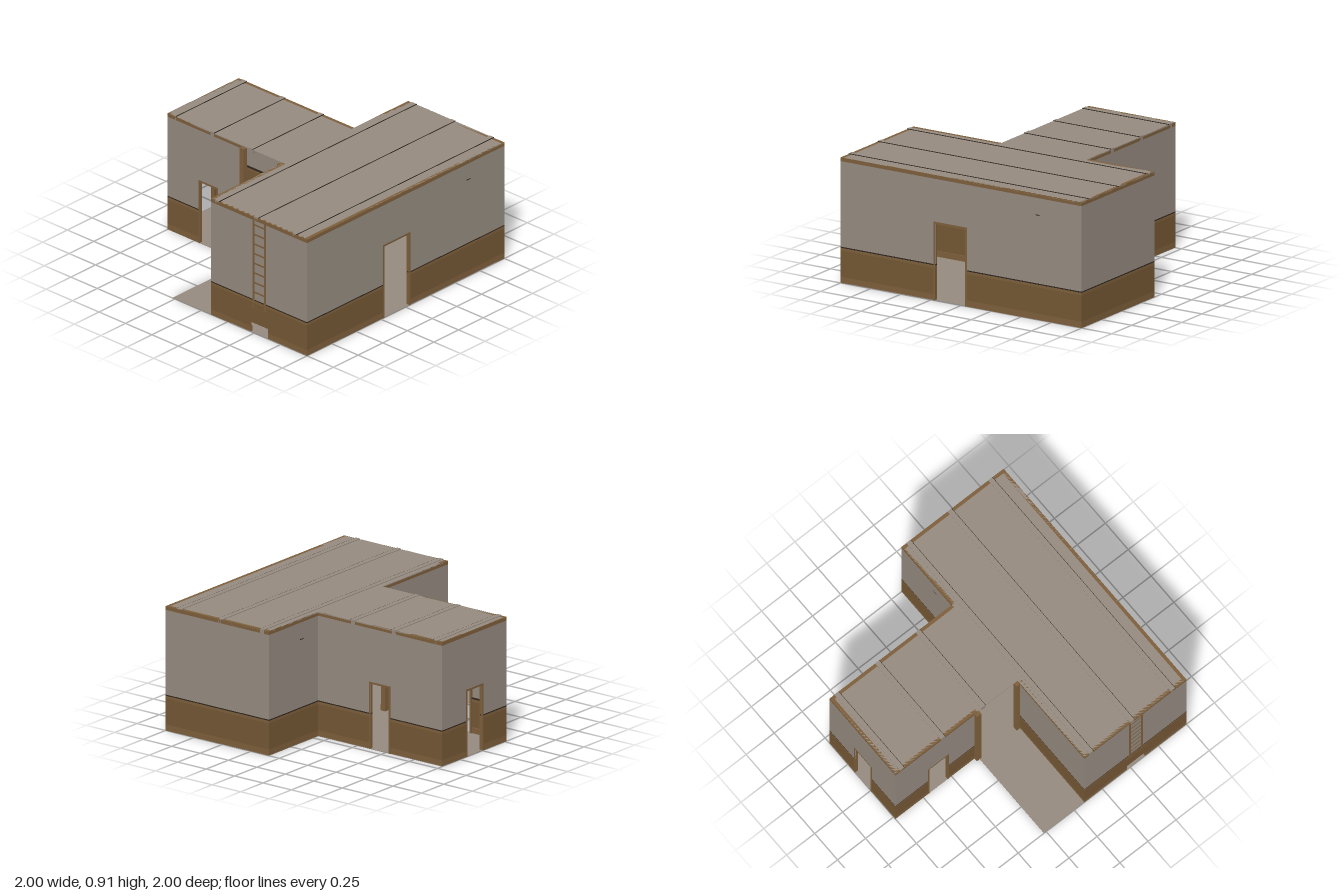
import * as THREE from 'three';

const mat = (name, color) => {
  const m = new THREE.MeshStandardMaterial({ color });
  m.name = name;
  return m;
};

export function createModel() {
  const plaster = mat('plaster', 0x958b80);
  const wood = mat('panel wood', 0x745734);
  const trim = mat('trim wood', 0x7d5f3b);
  const dark = mat('dark edge', 0x2e261d);

  const root = new THREE.Group();
  root.name = 'roomShell';
  const H = 0.905, T = 0.008;

  // Box given by its minimum and maximum corners
  function box(parent, name, m, x0, x1, y0, y1, z0, z1) {
    const mesh = new THREE.Mesh(new THREE.BoxGeometry(x1 - x0, y1 - y0, z1 - z0), m);
    mesh.position.set((x0 + x1) / 2, (y0 + y1) / 2, (z0 + z1) / 2);
    mesh.name = name;
    parent.add(mesh);
    return mesh;
  }

  // Horizontal wall bands: name, material, bottom, top, inner depth
  const bands = [
    ['baseboard', trim, 0, 0.045, 0.016],
    ['wainscot', wood, 0.045, 0.235, T],
    ['chairRail', trim, 0.235, 0.254, 0.016],
    ['railCap', dark, 0.254, 0.262, 0.02],
    ['wallPlaster', plaster, 0.262, 0.878, T],
    ['cornice', trim, 0.878, H, 0.025],
  ];

  // Door casing with a flared head on the room side
  function casing(g, a, b, h) {
    const w = 0.014, out = 0.001, inn = -0.024;
    box(g, 'doorJamb', trim, a - w, a, 0, h + w, inn, out);
    box(g, 'doorJamb', trim, b, b + w, 0, h + w, inn, out);
    box(g, 'doorHead', trim, a, b, h, h + w, inn, out);
    for (let i = 0; i < 3; i++) {
      const e = w + 0.008 * (i + 1), y = h + w + i * 0.008;
      box(g, 'doorCrown', trim, a - e, b + e, y, y + 0.008, inn - 0.006 * i, -T);
    }
  }

  // Wall in local space: x runs along it, +z faces outside
  function wall(name, ax, az, bx, bz, opening) {
    const g = new THREE.Group();
    g.name = name;
    const dx = bx - ax, dz = bz - az, L = Math.hypot(dx, dz);
    g.position.set(ax, 0, az);
    g.rotation.y = Math.atan2(-dz, dx);
    for (const [n, m, y0, y1, d] of bands) {
      if (!opening || opening.h <= y0) {
        box(g, n, m, 0, L, y0, y1, -d, 0);
        continue;
      }
      const { a, b, h } = opening;
      box(g, n, m, 0, a, y0, y1, -d, 0);
      box(g, n, m, b, L, y0, y1, -d, 0);
      if (h < y1) box(g, n, m, a, b, h, y1, -d, 0);
    }
    // Dentils under the cornice on the room side
    const count = Math.round(L / 0.035);
    for (let i = 0; i < count; i++) {
      const x = (i + 0.5) * L / count;
      box(g, 'dentil', trim, x - 0.008, x + 0.008, 0.862, 0.878, -0.02, -T);
    }
    if (opening && opening.door) casing(g, opening.a, opening.b, opening.h);
    root.add(g);
    return g;
  }

  const door = (a, b, h) => ({ a, b, h, door: true });
  const front = wall('frontWall', -1, 1, 1, 1, door(0.785, 1.035, 0.555));
  wall('leftWall', 1, 1, 1, 0.09);
  const rear = wall('rearWallLeft', 1, 0.09, 0.45, 0.09);
  wall('corridorLeftWall', 0.45, 0.09, 0.45, -1, door(0.46, 0.62, 0.476));
  wall('corridorEndWall', 0.45, -1, -0.27, -1, door(0.28, 0.45, 0.476));
  wall('corridorRightWall', -0.27, -1, -0.27, -0.27, door(0.305, 0.465, 0.476));
  wall('rearWallRight', -0.27, 0.09, -1, 0.09);
  const side = wall('rightWall', -1, 0.09, -1, 1, { a: 0.38, b: 0.54, h: 0.08 });

  // Vertical ducts with a dark joint
  for (const [g, x] of [[front, 1.635], [rear, 0.365]]) {
    box(g, 'duct', plaster, x - 0.015, x + 0.015, 0.262, 0.878, -0.03, -T);
    box(g, 'ductFoot', wood, x - 0.015, x + 0.015, 0, 0.262, -0.03, -T);
    box(g, 'ductJoint', dark, x - 0.018, x + 0.018, 0.752, 0.758, -0.034, 0.001);
  }

  // Ladder and low hatch surround
  for (const x of [0.405, 0.515]) {
    box(side, 'ladderRail', trim, x - 0.008, x + 0.008, 0.2, 0.878, -0.03, 0.002);
  }
  for (let i = 0; i < 9; i++) {
    const y = 0.24 + i * 0.075;
    box(side, 'ladderRung', trim, 0.41, 0.51, y, y + 0.012, -0.024, 0.002);
  }
  box(side, 'hatchPanel', wood, 0.365, 0.555, 0.08, 0.2, -0.03, 0.002);

  // Posts framing the open side bay
  for (const [z0, z1] of [[-0.295, -0.255], [0.06, 0.095]]) {
    box(root, 'bayPost', trim, -0.297, -0.262, 0, 0.895, z0, z1);
  }

  // Floors
  box(root, 'mainFloor', plaster, -1, 1, 0, 0.004, 0.09, 1);
  box(root, 'corridorFloor', plaster, -0.27, 0.45, 0, 0.004, -1, 0.09);
  box(root, 'bayFloor', plaster, -1, -0.27, 0, 0.004, -0.27, 0.09);

  // Ceilings
  box(root, 'mainCeiling', plaster, -1, 1, 0.898, H, 0.09, 1);
  box(root, 'corridorCeiling', plaster, -0.27, 0.45, 0.898, H, -1, 0.09);

  // Ceiling beams, standing slightly proud on top
  for (const z of [0.15, 0.517, 0.88]) {
    box(root, 'mainBeam', plaster, -1, 1, 0.87, 0.91, z - 0.018, z + 0.018);
    box(root, 'beamEdge', dark, -1, 1, H, 0.9095, z + 0.018, z + 0.021);
  }
  for (const z of [-0.94, -0.577, -0.215]) {
    box(root, 'corridorBeam', plaster, -0.27, 0.45, 0.87, 0.91, z - 0.018, z + 0.018);
    box(root, 'beamEdge', dark, -0.27, 0.45, H, 0.9095, z + 0.018, z + 0.021);
  }
  return root;
}
